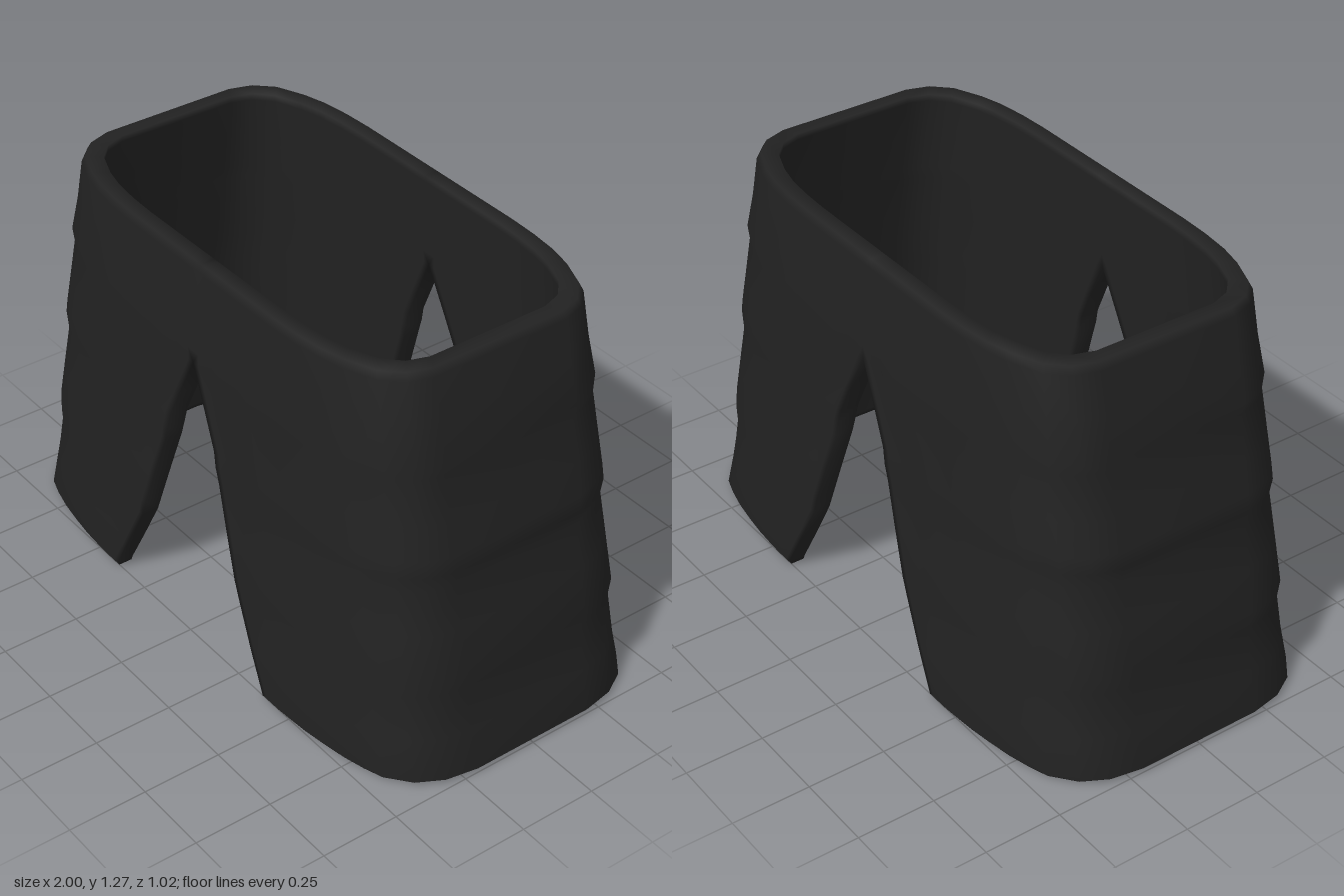
import * as THREE from 'three';

const charcoal = new THREE.MeshStandardMaterial({ color: 0x222222 });
charcoal.name = 'charcoal cloth';

// Rows from hem to waist: height, half width, half depth, half width of the slit
const ROWS = [
  [0, 0.985, 0.5, 0.39], [0.015, 1, 0.51, 0.385], [0.14, 0.968, 0.503, 0.32],
  [0.28, 0.942, 0.493, 0.25], [0.34, 0.952, 0.493, 0.23], [0.48, 0.92, 0.484, 0.183],
  [0.62, 0.89, 0.473, 0.135], [0.67, 0.9, 0.474, 0.122], [0.72, 0.892, 0.47, 0.11],
  [0.82, 0.868, 0.465, 0.065], [0.96, 0.837, 0.457, 0], [1.0, 0.846, 0.457, 0],
  [1.12, 0.815, 0.441, 0], [1.25, 0.787, 0.43, 0], [1.272, 0.775, 0.42, 0],
];
const TOP = 1.272;

// Quarter section from slit to side: x fraction, z fraction at waist, z fraction at hem
const QUARTER = [
  [0, 1, 1], [0.03, 1, 1], [0.1, 1, 1], [0.18, 1, 0.995], [0.3, 1, 0.985], [0.43, 1, 0.965],
  [0.56, 0.99, 0.94], [0.68, 0.965, 0.905], [0.78, 0.92, 0.865], [0.9, 0.83, 0.75],
  [0.97, 0.7, 0.6], [1, 0.53, 0.4], [1, 0, 0],
];
// Columns run from the front slit round the side to the back slit
const COLUMNS = [
  ...QUARTER.map((q, k) => ({ q, k, dir: 1 })),
  ...QUARTER.slice(0, -1).map((q, k) => ({ q, k, dir: -1 })).reverse(),
];

// One half of the garment: a thick, C-shaped shell on the side given by s
function makePanel(s) {
  const pos = [], index = [];
  const n = COLUMNS.length, ring = 2 * n, last = ROWS.length - 1;

  const addPoint = ({ q, k, dir }, y, hx, hz, w, pleat) => {
    const x = w + (hx - w) * q[0];
    let z = hz * THREE.MathUtils.lerp(q[2], q[1], y / TOP);
    // shallow folds running out of the top of the slit
    if (pleat) z += [0, 0, -0.008, 0.006, 0][k] * Math.max(0, 1 - Math.abs(y - 0.85) / 0.3) || 0;
    pos.push(s * x, y, dir * z);
  };
  for (const [y, hx, hz, w] of ROWS) {
    for (const c of COLUMNS) addPoint(c, y, hx, hz, w, true);
    for (const c of [...COLUMNS].reverse()) addPoint(c, y, 0.945 - 0.17 * y, 0.455 - 0.063 * y, w, false);
  }

  const quad = (a, b, c, d) => {
    if (s > 0) index.push(a, b, c, a, c, d);
    else index.push(a, c, b, a, d, c);
  };
  // outer wall, lining and slit edges
  for (let r = 0; r < last; r++) {
    for (let i = 0; i < ring; i++) {
      const slitEdge = i === n - 1 || i === ring - 1;
      if (slitEdge && ROWS[r][3] === 0) continue;
      const j = (i + 1) % ring;
      quad(r * ring + i, r * ring + j, (r + 1) * ring + j, (r + 1) * ring + i);
    }
  }
  // waist rim and hem
  for (let i = 0; i < n - 1; i++) {
    const t = last * ring, inner = ring - 1 - i;
    quad(t + i, t + i + 1, t + inner - 1, t + inner);
    quad(i + 1, i, inner, inner - 1);
  }

  const geometry = new THREE.BufferGeometry();
  geometry.setAttribute('position', new THREE.Float32BufferAttribute(pos, 3));
  geometry.setIndex(index);
  geometry.computeVertexNormals();
  // keep the two halves smooth where they join above the slit
  const normal = geometry.attributes.normal;
  const v = new THREE.Vector3();
  for (let r = 0; r <= last; r++) {
    if (ROWS[r][3] > 0) continue;
    for (const i of [0, n - 1, n, ring - 1]) {
      const id = r * ring + i;
      v.fromBufferAttribute(normal, id).setX(0).normalize();
      normal.setXYZ(id, v.x, v.y, v.z);
    }
  }
  return geometry;
}

export function createModel() {
  const group = new THREE.Group();
  group.name = 'splitSkirt';
  for (const [name, s] of [['leftPanel', 1], ['rightPanel', -1]]) {
    const panel = new THREE.Mesh(makePanel(s), charcoal);
    panel.name = name;
    group.add(panel);
  }
  return group;
}
